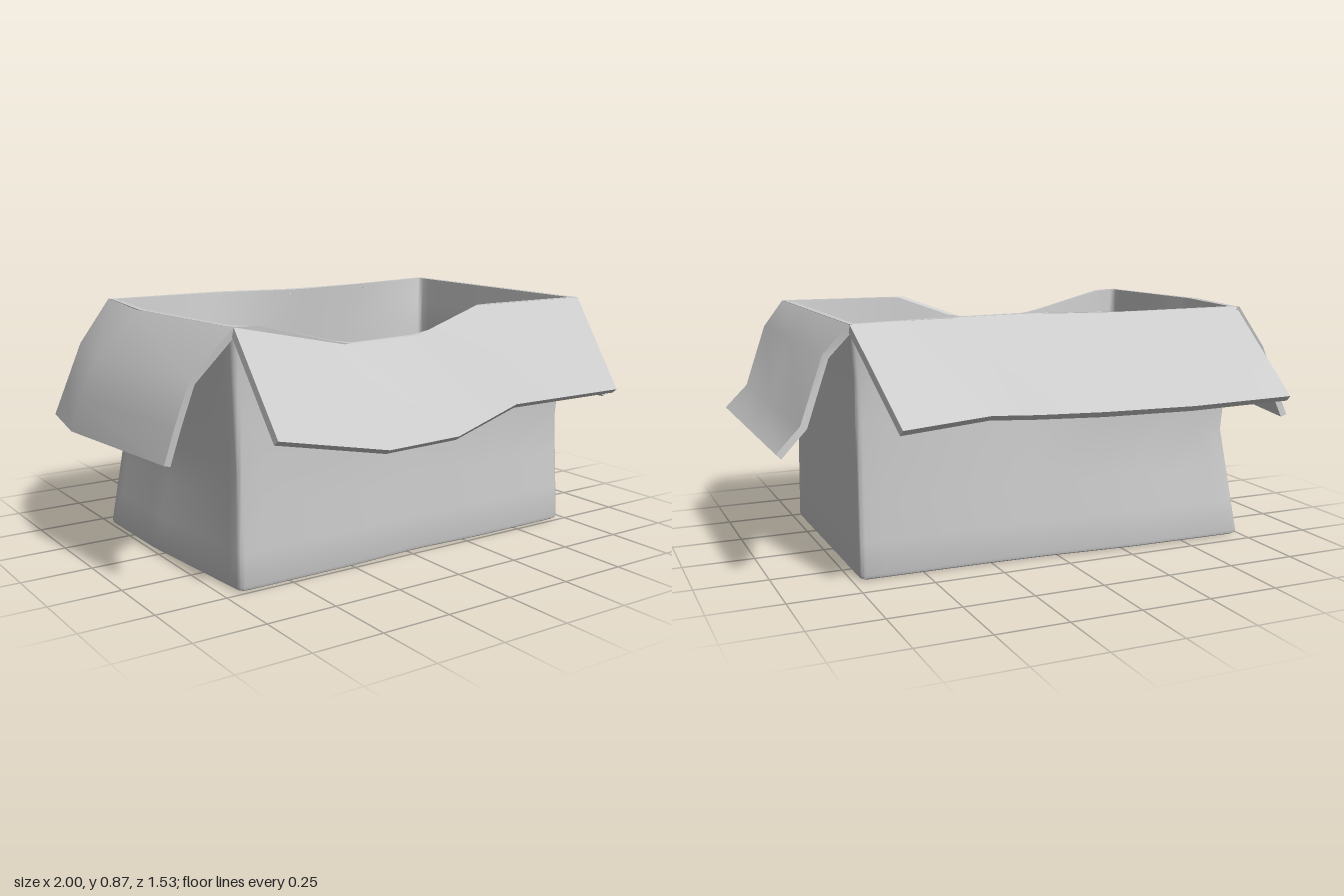
import * as THREE from 'three';
import { toCreasedNormals } from 'three/addons/utils/BufferGeometryUtils.js';

const material = new THREE.MeshStandardMaterial({ color: 0xcccccc });
const TOP = 0.865;
const HX = 0.73, HZ = 0.455; // nominal half sizes of the box

// Piecewise linear lookup
function lookup(keys, values, k) {
  if (k <= keys[0]) return values[0];
  for (let i = 1; i < keys.length; i++) {
    if (k <= keys[i]) {
      const f = (k - keys[i - 1]) / (keys[i] - keys[i - 1]);
      return values[i - 1] + (values[i] - values[i - 1]) * f;
    }
  }
  return values[values.length - 1];
}

// Warped wall positions: one row per height, sampled along the wall
const HEIGHTS = [0, 0.4, 0.68, TOP];
const LONG = [-0.73, -0.28, 0.03, 0.3, 0.73];
const SHORT = [-0.455, -0.08, 0.455];
const frontZ = [
  [0.49, 0.49, 0.475, 0.49, 0.49],
  [0.485, 0.475, 0.455, 0.465, 0.458],
  [0.487, 0.48, 0.455, 0.48, 0.483],
  [0.5, 0.5, 0.467, 0.49, 0.512]];
const backZ = [
  [-0.44, -0.43, -0.405, -0.395, -0.39],
  [-0.39, -0.385, -0.37, -0.375, -0.39],
  [-0.4, -0.395, -0.355, -0.365, -0.4],
  [-0.42, -0.42, -0.345, -0.36, -0.435]];
const rightX = [
  [-0.745, -0.742, -0.695], [-0.69, -0.7, -0.69], [-0.71, -0.735, -0.7], [-0.715, -0.768, -0.71]];
const leftX = [
  [0.725, 0.725, 0.725], [0.725, 0.725, 0.725], [0.73, 0.73, 0.73], [0.752, 0.752, 0.752]];
const wall = (rows, keys, k, y) => lookup(HEIGHTS, rows.map((r) => lookup(keys, r, k)), y);
// Sag of the front rim
const sag = (x) => lookup([-0.65, -0.3, 0.04, 0.28], [0, 0.09, 0.09, 0], x);

// Rounded rectangle in nominal plan coordinates
function planLoop(inset, scale) {
  const pts = [], r = 0.02, nArc = 4;
  const w = HX - inset - r, d = HZ - inset - r;
  const corners = [[w, d], [w, -d], [-w, -d], [-w, d]];
  corners.forEach(([cx, cz], c) => {
    for (let i = 0; i <= nArc; i++) {
      const a = Math.PI / 2 * (1 - c - i / nArc);
      pts.push([cx + r * Math.cos(a), cz + r * Math.sin(a)]);
    }
    const last = pts[pts.length - 1], next = corners[(c + 1) % 4];
    const a = Math.PI / 2 * -c;
    const end = [next[0] + r * Math.cos(a), next[1] + r * Math.sin(a)];
    for (let i = 1; i < 20; i++) {
      const f = i / 20;
      pts.push([last[0] + (end[0] - last[0]) * f, last[1] + (end[1] - last[1]) * f]);
    }
  });
  return pts.map(([x, z]) => [x * scale, z * scale]);
}

// Plan point and height to warped position
function warp(px, pz, y) {
  const s = 0.5 + px / (2 * HX), t = 0.5 + pz / (2 * HZ);
  const x0 = wall(rightX, SHORT, pz, y), x1 = wall(leftX, SHORT, pz, y);
  const z0 = wall(backZ, LONG, px, y), z1 = wall(frontZ, LONG, px, y);
  const drop = sag(px) * t * Math.pow(y / TOP, 2);
  return [x0 + (x1 - x0) * s, y - drop, z0 + (z1 - z0) * t];
}

function makeGeometry(positions, index, crease) {
  const g = new THREE.BufferGeometry();
  g.setAttribute('position', new THREE.Float32BufferAttribute(positions, 3));
  g.setIndex(index);
  return crease ? toCreasedNormals(g, crease) : g;
}

// Open box: underside, outer walls, rim, inner walls, floor
function boxGeometry() {
  const T = 0.02;
  const rings = [[0, 0, 0], [0.012, 0, 1], [0.004, 0.005, 1], [0, 0.016, 1]];
  const steps = [0.13, 0.27, 0.4, 0.54, 0.68, 0.77, TOP];
  steps.forEach((y) => rings.push([0, y, 1]));
  [...steps].reverse().forEach((y) => rings.push([T, y, 1]));
  rings.push([T, 0.02, 1], [T, 0.02, 0]);

  const pos = [], index = [];
  let n = 0;
  rings.forEach(([inset, y, scale], j) => {
    const loop = planLoop(inset, scale);
    n = loop.length;
    loop.forEach(([x, z]) => pos.push(...warp(x, z, y)));
    if (j === 0) return;
    for (let i = 0; i < n; i++) {
      const k = (i + 1) % n;
      const a = (j - 1) * n + i, b = (j - 1) * n + k, c = j * n + k, d = j * n + i;
      if (j > 1) index.push(a, b, c);
      if (j < rings.length - 1) index.push(a, c, d);
      else continue;
      if (j === 1) continue;
    }
  });
  return makeGeometry(pos, index, 0.6);
}

// Thick sheet through rows of points, running from the hinge outwards
function flapGeometry(rows, thickness = 0.024) {
  const m = rows.length, n = rows[0].length, count = m * n;
  const pos = rows.flat(2), sheet = [];
  for (let j = 0; j < m - 1; j++) {
    for (let i = 0; i < n - 1; i++) {
      const a = j * n + i, b = a + 1, c = b + n, d = a + n;
      sheet.push(a, d, c, a, c, b);
    }
  }
  const top = makeGeometry(pos, sheet);
  top.computeVertexNormals();
  const normal = top.attributes.normal.array;
  const all = pos.concat(pos.map((p, i) => p - normal[i] * thickness));
  const index = [...sheet];
  for (let i = 0; i < sheet.length; i += 3) {
    index.push(sheet[i] + count, sheet[i + 2] + count, sheet[i + 1] + count);
  }
  // Edge strip around the sheet
  const rim = [];
  for (let j = 0; j < m; j++) rim.push(j * n);
  for (let i = 1; i < n; i++) rim.push((m - 1) * n + i);
  for (let j = m - 2; j >= 0; j--) rim.push(j * n + n - 1);
  for (let i = n - 2; i > 0; i--) rim.push(i);
  rim.forEach((a, i) => {
    const b = rim[(i + 1) % rim.length];
    index.push(a, a + count, b + count, a, b + count, b);
  });
  return makeGeometry(all, index, 0.75);
}

const flaps = {
  frontFlap: [
    [[-0.71, TOP, 0.505], [-0.3, 0.777, 0.503], [0.03, 0.777, 0.472], [0.27, TOP, 0.493], [0.752, TOP, 0.515]],
    [[-0.71, 0.56, 0.76], [-0.3, 0.475, 0.757], [0, 0.475, 0.735], [0.23, 0.56, 0.758], [0.71, 0.56, 0.765]]],
  backFlap: [
    [[0.752, TOP, -0.437], [0.38, TOP, -0.368], [0.24, TOP, -0.36], [0.02, TOP, -0.348], [-0.28, TOP, -0.422], [-0.71, TOP, -0.422]],
    [[0.69, 0.58, -0.765], [0.36, 0.58, -0.655], [0.22, 0.58, -0.7], [0, 0.58, -0.74], [-0.32, 0.58, -0.765], [-0.73, 0.58, -0.735]]],
  leftFlap: [[0.755, TOP, 0.512, -0.437], [0.835, 0.77, 0.485, -0.405], [0.918, 0.55, 0.455, -0.428], [1, 0.468, 0.457, -0.435]]
    .map(([x, y, z0, z1]) => [[x, y, z0], [x, y, 0.05], [x, y, z1]]),
  rightFlap: [
    [[-0.715, TOP, -0.437], [-0.772, TOP, -0.06], [-0.71, TOP, 0.505]],
    [[-0.84, 0.71, -0.42], [-0.905, 0.71, -0.1], [-0.85, 0.71, 0.475]],
    [[-0.9, 0.57, -0.42], [-0.967, 0.57, -0.12], [-0.895, 0.57, 0.46]],
    [[-0.938, 0.45, -0.45], [-1, 0.455, -0.13], [-0.93, 0.45, 0.45]]],
};

export function createModel() {
  const model = new THREE.Group();
  model.name = 'openBox';
  const add = (name, geometry) => {
    const mesh = new THREE.Mesh(geometry, material);
    mesh.name = name;
    model.add(mesh);
  };
  add('boxBody', boxGeometry());
  for (const [name, rows] of Object.entries(flaps)) add(name, flapGeometry(rows));
  return model;
}
